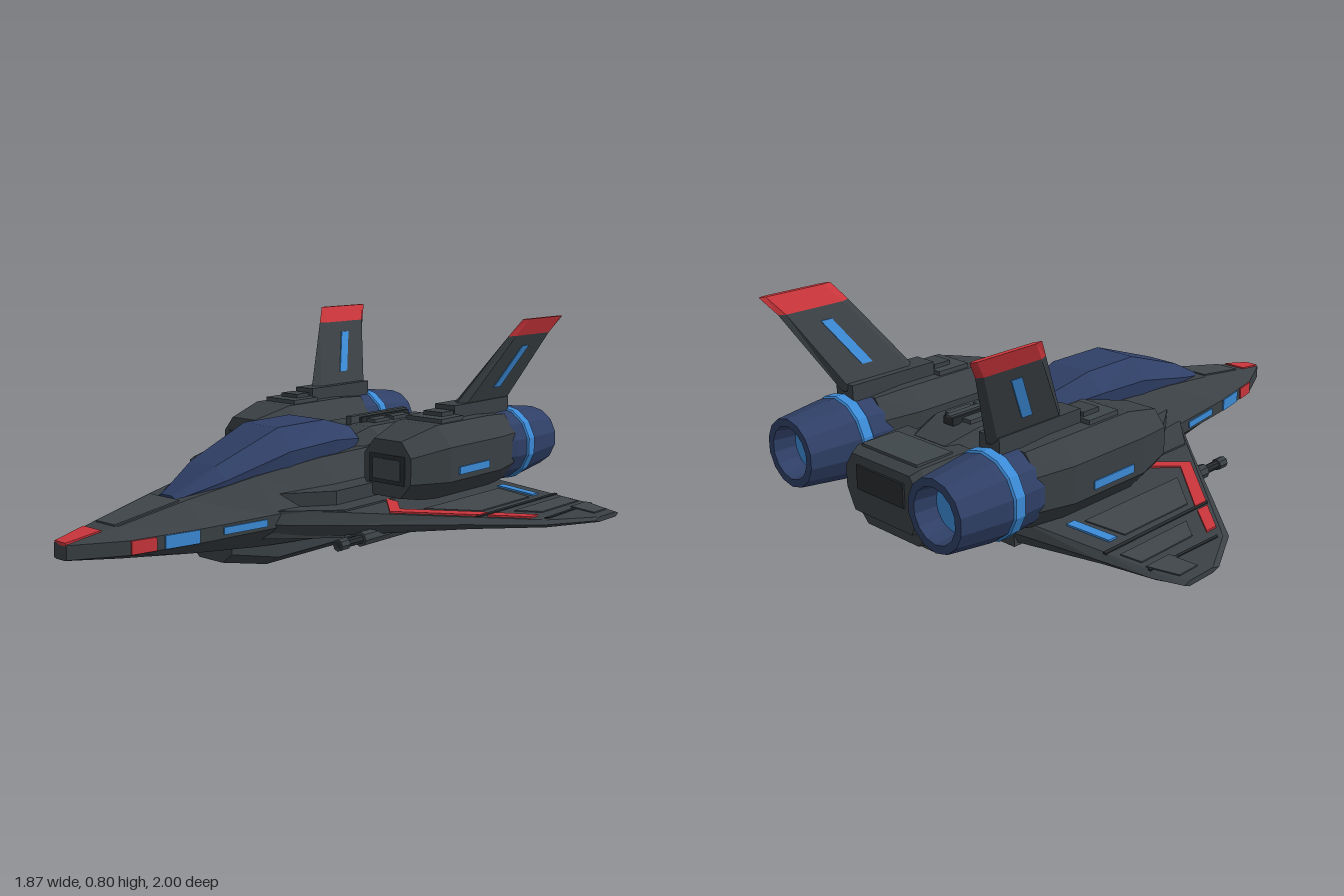
import * as THREE from 'three';

const mat = (name, color, extra = {}) => Object.assign(new THREE.MeshStandardMaterial({ color, flatShading: true, ...extra }), { name });

// Faceted solid through matching convex rings of [x, y, z], closed at both ends.
function loft(rings) {
  const tris = [], n = rings[0].length;
  for (let r = 0; r < rings.length - 1; r++) {
    for (let i = 0; i < n; i++) {
      const j = (i + 1) % n, a = rings[r], b = rings[r + 1];
      tris.push([a[i], a[j], b[j]], [a[i], b[j], b[i]]);
    }
  }
  const first = rings[0], last = rings[rings.length - 1];
  for (let i = 1; i < n - 1; i++) {
    tris.push([first[0], first[i + 1], first[i]], [last[0], last[i], last[i + 1]]);
  }
  // turn the solid outward if its signed volume is negative
  let volume = 0;
  for (const [a, b, c] of tris) {
    volume += new THREE.Vector3(...a).dot(new THREE.Vector3(...b).cross(new THREE.Vector3(...c)));
  }
  if (volume < 0) tris.forEach((t) => t.reverse());
  const geo = new THREE.BufferGeometry();
  geo.setAttribute('position', new THREE.Float32BufferAttribute(tris.flat(2), 3));
  geo.computeVertexNormals();
  return geo;
}

const lerp = THREE.MathUtils.lerp;

// Hull stations: z, half width, side height, roof half width, roof y, floor half width, floor y
const HULL = [
  [1.0, 0.03, 0.19, 0.022, 0.212, 0.02, 0.162],
  [0.83, 0.112, 0.187, 0.055, 0.24, 0.06, 0.143],
  [0.57, 0.165, 0.187, 0.085, 0.285, 0.1, 0.115],
  [0.3, 0.205, 0.19, 0.12, 0.325, 0.13, 0.09],
  [0, 0.24, 0.19, 0.14, 0.35, 0.15, 0.07],
  [-0.65, 0.24, 0.19, 0.15, 0.36, 0.15, 0.07],
  [-0.88, 0.18, 0.2, 0.14, 0.34, 0.12, 0.115],
];
function hullWidth(z) {
  const i = HULL.findIndex((s, k) => k > 0 && s[0] <= z);
  const a = HULL[i - 1], b = HULL[i];
  return lerp(a[1], b[1], (z - a[0]) / (b[0] - a[0]));
}
const wingTop = (x) => lerp(0.212, 0.183, (x - 0.35) / 0.585);

export function createModel() {
  const model = new THREE.Group();
  model.name = 'starfighter';
  const gray = mat('hull gray', 0x3a4044);
  const dark = mat('dark trim', 0x272b2e);
  const panel = mat('panel gray', 0x3f464a);
  const navy = mat('navy', 0x2f3f66);
  const blue = mat('bright blue', 0x3b8ad6);
  const red = mat('red', 0xc9353b);

  const add = (name, geo, material) => {
    const mesh = new THREE.Mesh(geo, material);
    mesh.name = name;
    model.add(mesh);
    return mesh;
  };
  const box = (name, material, x0, x1, y0, y1, z0, z1) => {
    const geo = new THREE.BoxGeometry(Math.abs(x1 - x0), y1 - y0, Math.abs(z1 - z0));
    return add(name, geo.translate((x0 + x1) / 2, (y0 + y1) / 2, (z0 + z1) / 2), material);
  };
  // slab over an [x, z] outline; heights may be functions of x
  const slab = (name, material, s, outline, bottom, top) => {
    const ring = (h) => outline.map(([x, z]) => [s * x, typeof h === 'function' ? h(x) : h, z]);
    return add(name, loft([ring(bottom), ring(top)]), material);
  };
  const wingPlate = (name, material, s, outline, h) =>
    slab(name, material, s, outline, (x) => wingTop(x) - 0.003, (x) => wingTop(x) + h);

  // Fuselage with narrow upright sides
  add('fuselage', loft(HULL.map(([z, w, m, t, yt, b, yb]) => [
    [t, yt, z], [w, m + 0.02, z], [w, m - 0.025, z], [b, yb, z],
    [-b, yb, z], [-w, m - 0.025, z], [-w, m + 0.02, z], [-t, yt, z],
  ])), gray);

  // Canopy
  add('canopy', loft([
    [0.58, 0.045, 0.27, 0.28, 0.29], [0.42, 0.105, 0.28, 0.325, 0.37], [0.15, 0.14, 0.3, 0.39, 0.465],
    [-0.08, 0.143, 0.3, 0.4, 0.466], [-0.25, 0.1, 0.32, 0.38, 0.42],
  ].map(([z, w, low, mid, top]) => [
    [w * 0.9, low, z], [w, mid, z], [w * 0.58, top, z], [-w * 0.58, top, z], [-w, mid, z], [-w * 0.9, low, z],
  ])), navy);

  // Nose cap and nose panel follow the sloping roof
  const noseRing = (z, w, y, h) => [[-w, y - 0.005, z], [w, y - 0.005, z], [w, y + h, z], [-w, y + h, z]];
  add('noseCap', loft([noseRing(1.0, 0.026, 0.212, 0.005), noseRing(0.88, 0.043, 0.232, 0.005)]), red);
  add('nosePanel', loft([noseRing(0.83, 0.045, 0.24, 0.005), noseRing(0.59, 0.07, 0.2816, 0.005)]), panel);

  // Spine behind the canopy, with its ridge bars
  add('spine', loft([
    [-0.22, 0.11, 0.38], [-0.32, 0.15, 0.415], [-0.6, 0.15, 0.415], [-0.72, 0.11, 0.38],
  ].map(([z, w, y]) => [
    [w, 0.3, z], [w, y - 0.04, z], [w * 0.65, y, z], [-w * 0.65, y, z], [-w, y - 0.04, z], [-w, 0.3, z],
  ])), gray);
  box('spineBar', dark, -0.022, 0.022, 0.41, 0.435, -0.36, -0.64);
  for (const [z0, z1] of [[-0.39, -0.48], [-0.5, -0.6]]) box('spineHatch', panel, -0.06, 0.06, 0.41, 0.428, z0, z1);
  box('spineRib', panel, -0.012, 0.012, 0.41, 0.442, -0.31, -0.64);

  // Tail block
  add('tailBlock', loft([[-0.68, 0.19, 0.38], [-0.88, 0.185, 0.375], [-0.915, 0.17, 0.36]].map(([z, w, y]) => [
    [w * 0.8, y, z], [w, y - 0.05, z], [w, 0.24, z], [w * 0.8, 0.17, z],
    [-w * 0.8, 0.17, z], [-w, 0.24, z], [-w, y - 0.05, z], [-w * 0.8, y, z],
  ])), gray);
  box('tailRoofPanel', panel, -0.13, 0.13, 0.37, 0.384, -0.74, -0.88);
  box('tailPanel', dark, -0.11, 0.11, 0.25, 0.33, -0.9, -0.922);

  // Keel
  add('keel', loft([[0.39, 0.1, 0.04], [0.2, 0.13, 0], [-0.63, 0.13, 0], [-0.77, 0.1, 0.035]].map(([z, w, y]) => [
    [w, 0.1, z], [w, y + 0.035, z], [w * 0.55, y, z], [-w * 0.55, y, z], [-w, y + 0.035, z], [-w, 0.1, z],
  ])), gray);

  for (const s of [1, -1]) {
    // Painted marks along the hull sides
    for (const [z0, z1, y0, y1, m] of [
      [0.825, 0.74, 0.163, 0.206, red], [0.71, 0.59, 0.163, 0.206, blue], [0.5, 0.33, 0.176, 0.2, blue],
    ]) {
      add('sideMark', loft([z0, z1].map((z) => {
        const w = hullWidth(z);
        return [[s * (w - 0.004), y0, z], [s * (w + 0.005), y0, z], [s * (w + 0.005), y1, z], [s * (w - 0.004), y1, z]];
      })), m);
    }
    box('spineMark', blue, s * 0.146, s * 0.154, 0.34, 0.365, -0.34, -0.48);

    // Wing and its stepped root
    add('wing', loft([
      [0.18, 0.32, -0.71, 0.13], [0.35, 0.16, -0.705, 0.135], [0.66, -0.125, -0.67, 0.157],
      [0.84, -0.29, -0.65, 0.163], [0.935, -0.465, -0.62, 0.166],
    ].map(([x, zl, zt, yb]) => {
      const yt = wingTop(x), ym = (yt + yb) / 2;
      return [[zl, ym], [zl - 0.03, yt], [zt + 0.02, yt], [zt, ym], [zt + 0.02, yb], [zl - 0.03, yb]]
        .map(([z, y]) => [s * x, y, z]);
    })), gray);
    slab('wingRoot', gray, s, [[0.15, 0.33], [0.21, 0.27], [0.35, 0.12], [0.35, -0.7], [0.15, -0.7]], 0.125, 0.218);
    slab('shoulder', gray, s, [[0.15, 0.27], [0.2, 0.2], [0.28, 0.08], [0.28, -0.68], [0.15, -0.68]], 0.2, 0.265);

    // Wing plates, seams and stripes
    wingPlate('innerWingPanel', panel, s, [[0.5, -0.11], [0.64, -0.235], [0.64, -0.53], [0.5, -0.55]], 0.004);
    wingPlate('outerWingPanel', panel, s, [[0.71, -0.33], [0.78, -0.39], [0.78, -0.62], [0.71, -0.63]], 0.004);
    wingPlate('tipPanel', panel, s, [[0.805, -0.53], [0.9, -0.52], [0.9, -0.6], [0.805, -0.63]], 0.004);
    wingPlate('wingSeam', dark, s, [[0.665, -0.17], [0.678, -0.18], [0.678, -0.655], [0.665, -0.655]], 0.003);
    wingPlate('wingSeam', dark, s, [[0.826, -0.33], [0.836, -0.34], [0.826, -0.635], [0.816, -0.635]], 0.003);
    wingPlate('wingStripe', red, s, [[0.455, 0.015], [0.67, -0.18], [0.67, -0.235], [0.455, -0.038]], 0.006);
    wingPlate('wingStripe', red, s, [[0.69, -0.2], [0.795, -0.295], [0.795, -0.34], [0.69, -0.25]], 0.006);
    wingPlate('wingStripeHook', red, s, [[0.455, 0.015], [0.455, -0.038], [0.39, -0.11], [0.34, -0.11]], 0.006);
    wingPlate('wingMark', blue, s, [[0.48, -0.575], [0.635, -0.56], [0.635, -0.595], [0.48, -0.61]], 0.006);

    // Engine pod, chamfered octagon in section
    const cx = s * 0.343;
    add('enginePod', loft([
      [-0.11, 0.1, 0.225, 0.42], [-0.27, 0.147, 0.2, 0.46], [-0.58, 0.147, 0.2, 0.46], [-0.71, 0.118, 0.21, 0.45],
    ].map(([z, w, y0, y1]) => {
      const c = w * 0.42, h = (y1 - y0) * 0.27;
      return [[w - c, y1], [w, y1 - h], [w, y0 + h], [w - c, y0], [c - w, y0], [-w, y0 + h], [-w, y1 - h], [c - w, y1]]
        .map(([x, y]) => [cx + x, y, z]);
    })), gray);
    box('intakeFrame', dark, cx - 0.075, cx + 0.075, 0.27, 0.37, -0.12, -0.106);
    box('intakePlate', panel, cx - 0.058, cx + 0.058, 0.284, 0.356, -0.12, -0.102);
    box('podMark', blue, s * 0.485, s * 0.495, 0.29, 0.317, -0.32, -0.5);
    box('podHatch', panel, cx - 0.075, cx + 0.075, 0.45, 0.475, -0.31, -0.44);
    box('podHatchCap', gray, cx - 0.04, cx + 0.04, 0.47, 0.49, -0.36, -0.43);

    // Engine nozzle, accent band and glow
    const turned = (profile) => loft(profile.map(([r, z]) => Array.from({ length: 14 }, (_, i) => {
      const a = ((i + 0.5) / 14) * Math.PI * 2;
      return [cx + r * Math.cos(a), 0.327 + r * Math.sin(a), z];
    })));
    add('nozzle', turned([[0.12, -0.66], [0.134, -0.71], [0.134, -0.84], [0.114, -1]]), navy).geometry.dispose();
    model.children[model.children.length - 1].geometry =
      turned([[0.12, -0.66], [0.134, -0.71], [0.134, -0.84], [0.114, -1], [0.088, -1], [0.078, -0.92]]);
    add('nozzleBand', turned([[0.134, -0.772], [0.14, -0.777], [0.14, -0.813], [0.134, -0.818]]), blue);
    const glow = add('engineGlow', new THREE.CircleGeometry(0.078, 14), blue);
    glow.rotation.y = Math.PI;
    glow.position.set(cx, 0.327, -0.925);

    // Canted tail fin
    const finRing = ([y, x, t, zl, zt]) => [
      [x, zl], [x + t, zl - 0.03], [x + t, zt + 0.02], [x, zt], [x - t, zt + 0.02], [x - t, zl - 0.03],
    ].map(([px, z]) => [s * px, y, z]);
    const base = [0.48, 0.337, 0.028, -0.48, -0.79], mid = [0.74, 0.452, 0.013, -0.66, -0.93];
    const tip = [0.8, 0.482, 0.008, -0.705, -0.975];
    add('tailFin', loft([base, mid].map(finRing)), gray);
    add('finTip', loft([mid, tip].map(finRing)), red);
    add('finMark', loft([[0.55, -0.66], [0.7, -0.755]].map(([y, z]) => {
      const k = (y - 0.48) / 0.26, x = lerp(0.337, 0.452, k), t = lerp(0.028, 0.013, k) + 0.004;
      return [[x - t, z], [x + t, z], [x + t, z - 0.042], [x - t, z - 0.042]].map(([px, pz]) => [s * px, y, pz]);
    })), blue);
    box('finMount', gray, s * 0.295, s * 0.38, 0.44, 0.505, -0.44, -0.78);

    // Underwing gun on its pylon
    const tube = (name, r, z0, z1, m) => add(name,
      new THREE.CylinderGeometry(r, r, z1 - z0, 8).rotateX(Math.PI / 2).translate(s * 0.425, 0.135, (z0 + z1) / 2), m);
    tube('gunBody', 0.025, -0.25, 0.13, gray);
    tube('gunBarrel', 0.015, 0.12, 0.24, dark);
    tube('gunMuzzle', 0.02, 0.2, 0.24, gray);
    box('gunPylon', gray, s * 0.41, s * 0.44, 0.135, 0.175, -0.22, 0.03);
  }
  return model;
}
